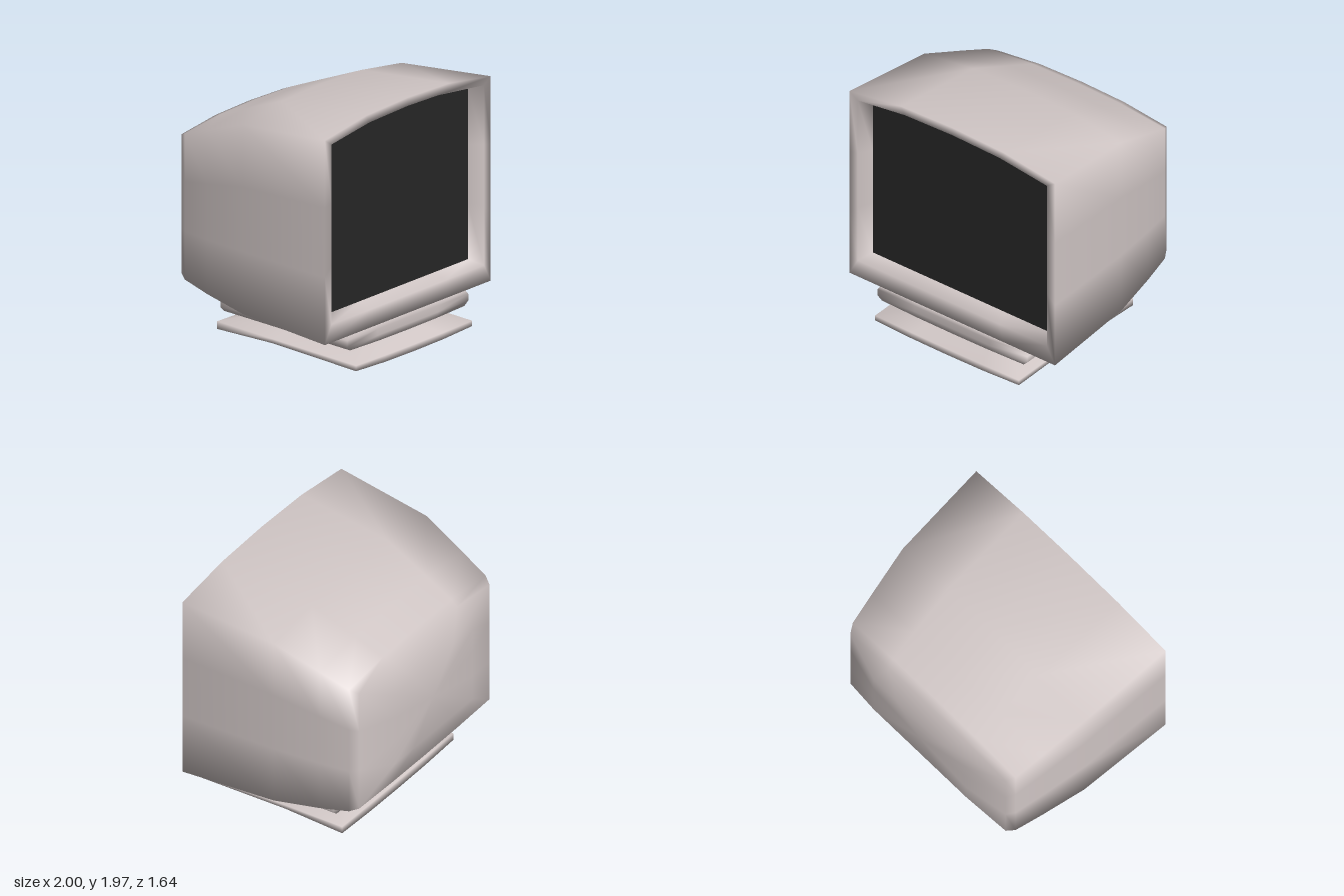
import * as THREE from 'three';

const STEPS = [-1, -0.5, 0, 0.5, 1];
const bow = (f) => (Math.abs(f) === 1 ? 0 : f === 0 ? 1 : 0.82);
const mix = THREE.MathUtils.lerp;

// Skin a list of equal-length rings; rings run counter-clockwise seen from the start
function loft(rings, capStart, capEnd) {
  const n = rings[0].length;
  const pos = rings.flat(2);
  const index = [];
  for (let i = 0; i < rings.length - 1; i++) {
    for (let j = 0; j < n; j++) {
      const a = i * n + j, b = i * n + (j + 1) % n;
      index.push(a, a + n, b, b, a + n, b + n);
    }
  }
  const cap = (r, flip) => {
    const centre = pos.length / 3;
    for (let k = 0; k < 3; k++) pos.push(rings[r].reduce((s, p) => s + p[k], 0) / n);
    for (let j = 0; j < n; j++) {
      const a = r * n + j, b = r * n + (j + 1) % n;
      index.push(centre, flip ? b : a, flip ? a : b);
    }
  };
  if (capStart) cap(0, false);
  if (capEnd) cap(rings.length - 1, true);
  const geo = new THREE.BufferGeometry();
  geo.setAttribute('position', new THREE.Float32BufferAttribute(pos, 3));
  geo.setIndex(index);
  geo.computeVertexNormals();
  return geo;
}

// Upright section of the case: bowed top and bottom, straight sides
function caseRing(z, w, bottom, bottomMid, top, topMid) {
  const ring = STEPS.map((f) => [f * w, mix(bottom, bottomMid, bow(f)), z]);
  for (const t of [0.33, 0.67]) ring.push([w, mix(bottom, top, t), z]);
  for (const f of STEPS) ring.push([-f * w, mix(top, topMid, bow(f)), z]);
  for (const t of [0.67, 0.33]) ring.push([-w, mix(bottom, top, t), z]);
  return ring;
}

// Tilted level section of the stand; front and back edges sag in the middle
function standRing(w, zFront, zBack, yFront, yBack, sag = 0, kink = 0) {
  const zMid = mix(zFront, zBack, 0.6);
  const yMid = mix(yFront, yBack, 0.6) + kink;
  return [
    ...STEPS.map((f) => [f * w, yFront - sag * bow(f), zFront]),
    [w, yMid, zMid],
    ...STEPS.map((f) => [-f * w, yBack - sag * bow(f), zBack]),
    [-w, yMid, zMid],
  ];
}

export function createModel() {
  const group = new THREE.Group();
  const shellMat = new THREE.MeshStandardMaterial({ color: 0xd0c6c5 });
  const screenMat = new THREE.MeshStandardMaterial({ color: 0x262626 });
  const add = (name, geo, mat) => {
    const mesh = new THREE.Mesh(geo, mat);
    mesh.name = name;
    group.add(mesh);
  };

  // Case: recessed bezel, front rim, then tapering back
  const screenEdge = caseRing(0.65, 0.865, 0.465, 0.465, 1.8, 1.85);
  add('monitorCase', loft([
    screenEdge,
    caseRing(0.76, 0.92, 0.425, 0.425, 1.83, 1.9),
    caseRing(0.76, 1.0, 0.285, 0.285, 1.88, 1.965),
    caseRing(-0.05, 0.96, 0.36, 0.335, 1.835, 1.915),
    caseRing(-0.43, 0.9, 0.425, 0.37, 1.705, 1.767),
    caseRing(-0.67, 0.86, 0.48, 0.46, 1.62, 1.673),
    caseRing(-0.735, 0.82, 0.51, 0.495, 1.59, 1.648),
    caseRing(-0.82, 0.49, 0.76, 0.76, 1.41, 1.42),
  ], false, true), shellMat);

  // Dark flat screen
  add('screen', loft([screenEdge], true, false), screenMat);

  // Swivel collar under the case
  add('collar', loft([
    standRing(0.7, 0.755, -0.43, 0.285, 0.37),
    standRing(0.73, 0.76, -0.435, 0.25, 0.33),
    standRing(0.73, 0.76, -0.435, 0.2, 0.275),
    standRing(0.69, 0.755, -0.43, 0.165, 0.24, 0.012),
  ], true, true), shellMat);

  // Foot: short pedestal flaring to a thin tilted plate
  add('foot', loft([
    standRing(0.44, 0.53, -0.21, 0.19, 0.24),
    standRing(0.43, 0.56, -0.22, 0.165, 0.22),
    standRing(0.44, 0.59, -0.25, 0.135, 0.2),
    standRing(0.7, 0.82, -0.49, 0.06, 0.15, 0.008),
    standRing(0.7, 0.82, -0.49, 0.018, 0.09, 0.018, 0.02),
  ], true, true), shellMat);

  return group;
}
